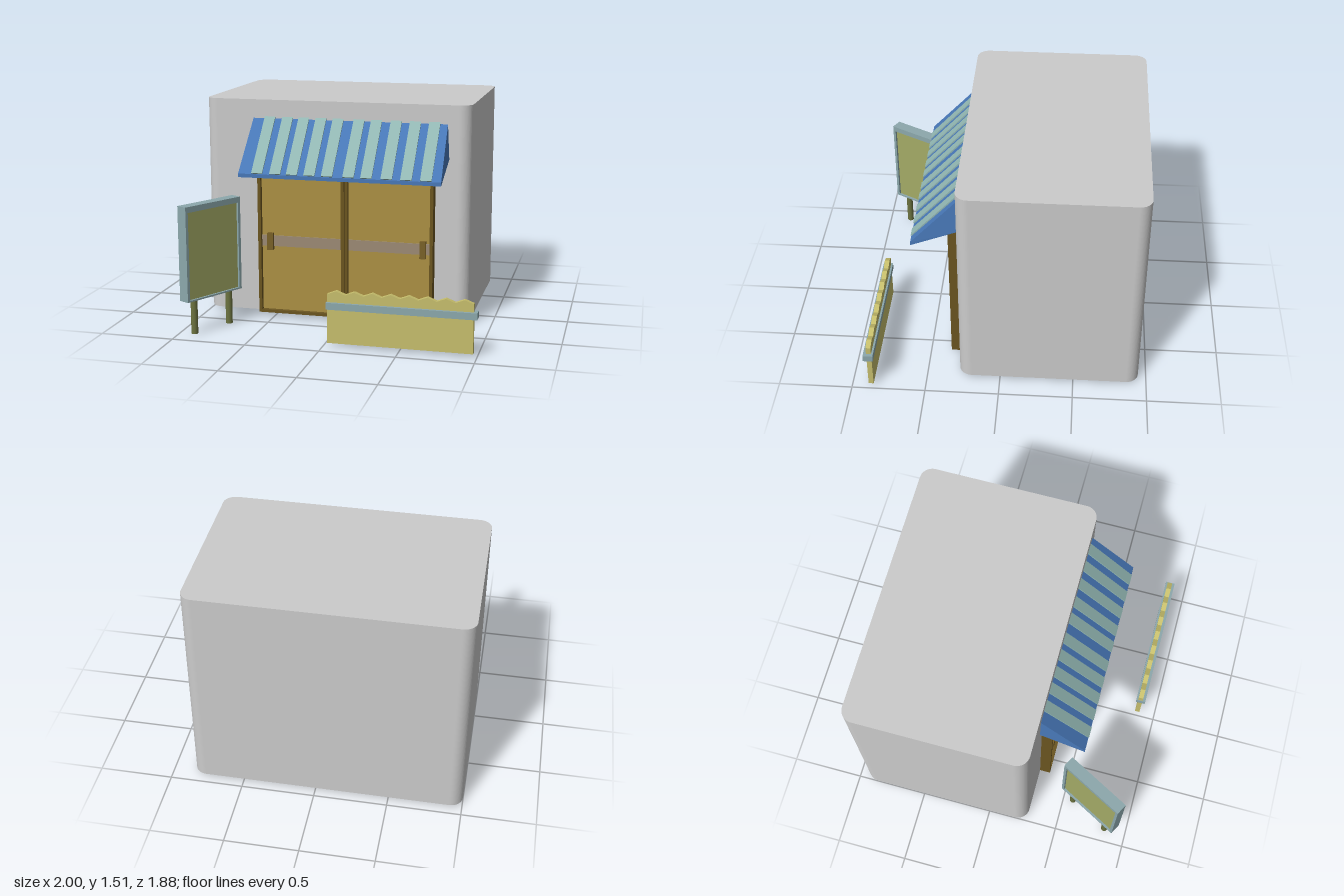
import * as THREE from 'three';

const mat = (color) => new THREE.MeshStandardMaterial({ color });
const MAT = {
  wall: mat(0xcccccc), frame: mat(0x6b5520), panel: mat(0xac9144), bar: mat(0x9c8b75), handle: mat(0x7a6128),
  blue: mat(0x4878b8), stripe: mat(0x93b8b4), trim: mat(0x8ca8ac), board: mat(0xa3aa66), post: mat(0x6c7340),
  fence: mat(0xc6be6c),
};

function add(parent, name, geometry, material) {
  const mesh = new THREE.Mesh(geometry, material);
  mesh.name = name;
  parent.add(mesh);
  return mesh;
}

// Box given by its limits on each axis
function box(parent, name, material, [x0, x1], [y0, y1], [z0, z1]) {
  const mesh = add(parent, name, new THREE.BoxGeometry(x1 - x0, y1 - y0, z1 - z0), material);
  mesh.position.set((x0 + x1) / 2, (y0 + y1) / 2, (z0 + z1) / 2);
  return mesh;
}

const polygon = (points) => new THREE.Shape(points.map(([x, y]) => new THREE.Vector2(x, y)));
const rectangle = (x0, x1, y0, y1) => [[x0, y0], [x1, y0], [x1, y1], [x0, y1]];

// Rectangular frame with an opening, extruded from z0 to z1
function frame(parent, name, material, outer, inner, [z0, z1]) {
  const shape = polygon(rectangle(...outer));
  shape.holes.push(polygon(rectangle(...inner).reverse()));
  const geometry = new THREE.ExtrudeGeometry(shape, { depth: z1 - z0, bevelEnabled: false });
  return add(parent, name, geometry.translate(0, 0, z0), material);
}

// Extrude a (z, y) profile along x, centred on x = cx
function extrudeAcross(points, width, cx) {
  const geometry = new THREE.ExtrudeGeometry(polygon(points), { depth: width, bevelEnabled: false });
  return geometry.rotateY(-Math.PI / 2).translate(cx + width / 2, 0, 0);
}

function createBuilding() {
  const x0 = -1, x1 = 0.85, z0 = -0.945, z1 = 0.28, r = 0.085;
  const s = new THREE.Shape();
  // Plan outline; shape y becomes -z
  s.absarc(x1 - r, -z0 - r, r, 0, Math.PI / 2);
  s.absarc(x0 + r, -z0 - r, r, Math.PI / 2, Math.PI);
  s.absarc(x0 + r, -z1 + r, r, Math.PI, Math.PI * 1.5);
  s.absarc(x1 - r, -z1 + r, r, Math.PI * 1.5, Math.PI * 2);
  s.closePath();
  const geometry = new THREE.ExtrudeGeometry(s, { depth: 1.49, bevelEnabled: false, curveSegments: 10 });
  geometry.rotateX(-Math.PI / 2).translate(0, 0.02, 0);
  const mesh = new THREE.Mesh(geometry, MAT.wall);
  mesh.name = 'building';
  return mesh;
}

function createDoors() {
  const g = new THREE.Group();
  g.name = 'doors';
  for (const [side, x0, x1, hx] of [['right', -0.61, 0.002, -0.525], ['left', 0.006, 0.615, 0.545]]) {
    const door = new THREE.Group();
    door.name = side + 'Door';
    g.add(door);
    frame(door, 'doorFrame', MAT.frame, [x0, x1, 0.025, 1.08], [x0 + 0.022, x1 - 0.022, 0.045, 1.055], [0.27, 0.355]);
    box(door, 'doorPanel', MAT.panel, [x0 + 0.01, x1 - 0.01], [0.035, 1.07], [0.27, 0.325]);
    box(door, 'crossBar', MAT.bar, [x0 + 0.015, x1 - 0.015], [0.5, 0.575], [0.3, 0.333]);
    box(door, 'handle', MAT.handle, [hx - 0.021, hx + 0.021], [0.475, 0.595], [0.3, 0.354]);
  }
  return g;
}

function createAwning() {
  const g = new THREE.Group();
  g.name = 'awning';
  const cx = 0.02;
  const body = extrudeAcross([[0.275, 1.15], [0.588, 1.025], [0.588, 1.05], [0.275, 1.388]], 1.37, cx);
  // Narrow the upper edge slightly
  const p = body.attributes.position;
  for (let i = 0; i < p.count; i++) {
    if (p.getY(i) > 1.2) p.setX(i, cx + (p.getX(i) - cx) * 0.982);
  }
  body.computeVertexNormals();
  add(g, 'awningCanopy', body, MAT.blue);
  // Raised stripes following the slope
  const profile = [[0.275, 1.385], [0.584, 1.05], [0.592, 1.058], [0.28, 1.396], [0.275, 1.396]];
  for (const x of [-0.535, -0.41, -0.295, -0.175, -0.055, 0.09, 0.21, 0.345, 0.475, 0.605]) {
    add(g, 'awningStripe', extrudeAcross(profile, 0.075, x), MAT.stripe);
  }
  return g;
}

function createSign() {
  const g = new THREE.Group();
  g.name = 'sign';
  const w = 0.24, d = 0.0395;
  frame(g, 'signFrame', MAT.trim, [-w, w, 0.235, 0.877], [-w + 0.02, w - 0.02, 0.246, 0.838], [-d, d]);
  box(g, 'signBoard', MAT.board, [-w + 0.01, w - 0.01], [0.24, 0.85], [-0.025, 0.025]);
  for (const x of [-0.155, 0.155]) {
    const post = add(g, 'signPost', new THREE.CylinderGeometry(0.023, 0.023, 0.24, 16), MAT.post);
    post.position.set(x, 0.12, 0);
  }
  g.position.set(-0.829, 0, 0.707);
  g.rotation.y = 1.082;
  return g;
}

function createFence() {
  const g = new THREE.Group();
  g.name = 'fence';
  const x0 = 0.025, x1 = 0.975, teeth = 8;
  const outline = [[x0, 0.02], [x1, 0.02]];
  // Toothed upper edge
  for (let i = teeth * 2; i >= 0; i--) {
    outline.push([x0 + ((x1 - x0) * i) / (teeth * 2), i % 2 ? 0.37 : 0.347]);
  }
  const board = new THREE.ExtrudeGeometry(polygon(outline), { depth: 0.034, bevelEnabled: false });
  add(g, 'fenceBoard', board.translate(0, 0, 0.853), MAT.fence);
  box(g, 'fenceRail', MAT.trim, [0.02, 1], [0.25, 0.295], [0.84, 0.907]);
  return g;
}

export function createModel() {
  const model = new THREE.Group();
  model.name = 'shopFront';
  model.add(createBuilding(), createDoors(), createAwning(), createSign(), createFence());
  return model;
}
